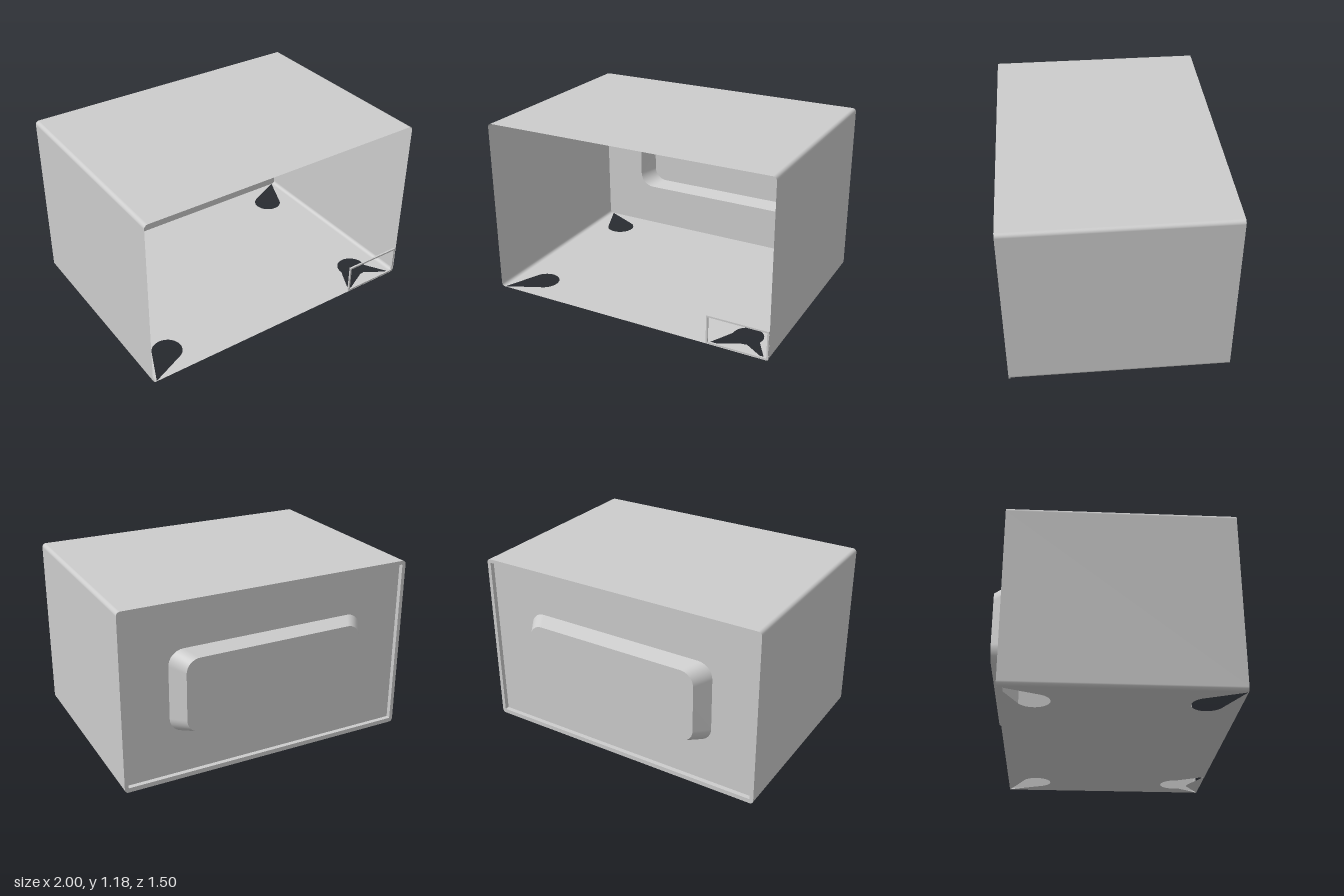
import * as THREE from 'three';

const FRONT = 0.75, RIM = -0.675, PANEL = -0.645, BACK = -0.75, TOP = 1.185;

// Rounded rectangle, counter-clockwise from the bottom right corner
function ring(halfW, y0, y1, r, steps = 8) {
  const pts = [];
  const centres = [[halfW - r, y0 + r], [halfW - r, y1 - r], [r - halfW, y1 - r], [r - halfW, y0 + r]];
  centres.forEach(([cx, cy], c) => {
    for (let i = 0; i <= steps; i++) {
      const a = (c - 1 + i / steps) * Math.PI / 2;
      pts.push(new THREE.Vector2(cx + r * Math.cos(a), cy + r * Math.sin(a)));
    }
  });
  return pts;
}

// Wall between two matching outlines at depths zA (front) and zB (back)
function loft(a, zA, b, zB, closed) {
  const pos = [], index = [], n = a.length;
  a.forEach((p, i) => pos.push(p.x, p.y, zA, b[i].x, b[i].y, zB));
  for (let i = 0; i < (closed ? n : n - 1); i++) {
    const p = 2 * i, q = 2 * ((i + 1) % n);
    index.push(p, p + 1, q, q, p + 1, q + 1);
  }
  const g = new THREE.BufferGeometry();
  g.setAttribute('position', new THREE.Float32BufferAttribute(pos, 3));
  g.setIndex(index);
  g.computeVertexNormals();
  return g;
}

// Flat plate facing the back, with optional opening
function plate(outline, z, opening) {
  const s = new THREE.Shape(outline);
  if (opening) s.holes.push(new THREE.Path(opening));
  const g = new THREE.ShapeGeometry(s);
  const idx = g.index.array;
  for (let i = 0; i < idx.length; i += 3) [idx[i], idx[i + 1]] = [idx[i + 1], idx[i]];
  g.computeVertexNormals();
  return g.translate(0, 0, z);
}

// Round floor hole with tapered slots running to the given points [x, z, half angle]
function floorHole(cx, cz, slots) {
  const pts = [], n = 72, r = 0.1;
  const done = new Set();
  const dirs = slots.map(([x, z]) => Math.atan2(z - cz, x - cx));
  const start = dirs[0] + Math.PI;
  for (let i = 0; i < n; i++) {
    const a = start + i / n * Math.PI * 2;
    const k = slots.findIndex((s, j) => Math.cos(a - dirs[j]) > Math.cos(s[2]));
    if (k < 0) pts.push(new THREE.Vector2(cx + r * Math.cos(a), cz + r * Math.sin(a)));
    else if (!done.has(k)) {
      done.add(k);
      pts.push(new THREE.Vector2(slots[k][0], slots[k][1]));
    }
  }
  return new THREE.Path(pts);
}

export function createModel() {
  const group = new THREE.Group();
  const grey = new THREE.MeshStandardMaterial({ color: 0xcccccc, side: THREE.DoubleSide });
  grey.name = 'light grey';
  const add = (name, geometry) => {
    const m = new THREE.Mesh(geometry, grey);
    m.name = name;
    group.add(m);
  };

  // Sleeve: sides and top with rounded long edges
  const outer = ring(1, 0, TOP, 0.025);
  add('sleeve', loft(outer, FRONT, outer, RIM, false));

  // Floor with four slotted foot holes
  const floor = new THREE.Shape();
  floor.moveTo(-0.975, RIM).lineTo(0.975, RIM).lineTo(0.975, FRONT).lineTo(-0.975, FRONT);
  const e = 0.972, f = FRONT - 0.003, b = RIM + 0.003, wide = 1.05;
  floor.holes.push(
    floorHole(-0.78, 0.55, [[-e, f, wide]]),
    floorHole(-0.78, -0.47, [[-e, b, wide]]),
    floorHole(0.78, -0.47, [[e, b, wide]]),
    floorHole(0.78, 0.55, [[e, f, 0.4], [0.585, f, 0.7]]),
  );
  add('floor', new THREE.ShapeGeometry(floor).rotateX(Math.PI / 2));

  // Back: rim, recessed panel and raised tapered block
  const inner = ring(0.975, 0.03, 1.16, 0.004, 2);
  const blockBase = ring(0.68, 0.32, 0.87, 0.1);
  const blockTop = ring(0.61, 0.35, 0.84, 0.09);
  add('backRim', plate(outer, RIM, inner));
  add('rimLip', loft(inner, PANEL, inner, RIM, true));
  add('backPanel', plate(inner, PANEL, blockBase));
  add('blockSides', loft(blockBase, PANEL, blockTop, BACK, true));
  add('blockFace', plate(blockTop, BACK));

  // Small label frame in the front lower left corner
  const frame = new THREE.Shape();
  frame.moveTo(0.58, 0.002).lineTo(0.995, 0.002).lineTo(0.995, 0.2).lineTo(0.58, 0.2);
  const gap = new THREE.Path();
  gap.moveTo(0.591, 0.013).lineTo(0.591, 0.189).lineTo(0.984, 0.189).lineTo(0.984, 0.013);
  frame.holes.push(gap);
  add('labelFrame', new THREE.ExtrudeGeometry(frame, { depth: 0.012, bevelEnabled: false })
    .translate(0, 0, FRONT - 0.012));

  return group;
}
